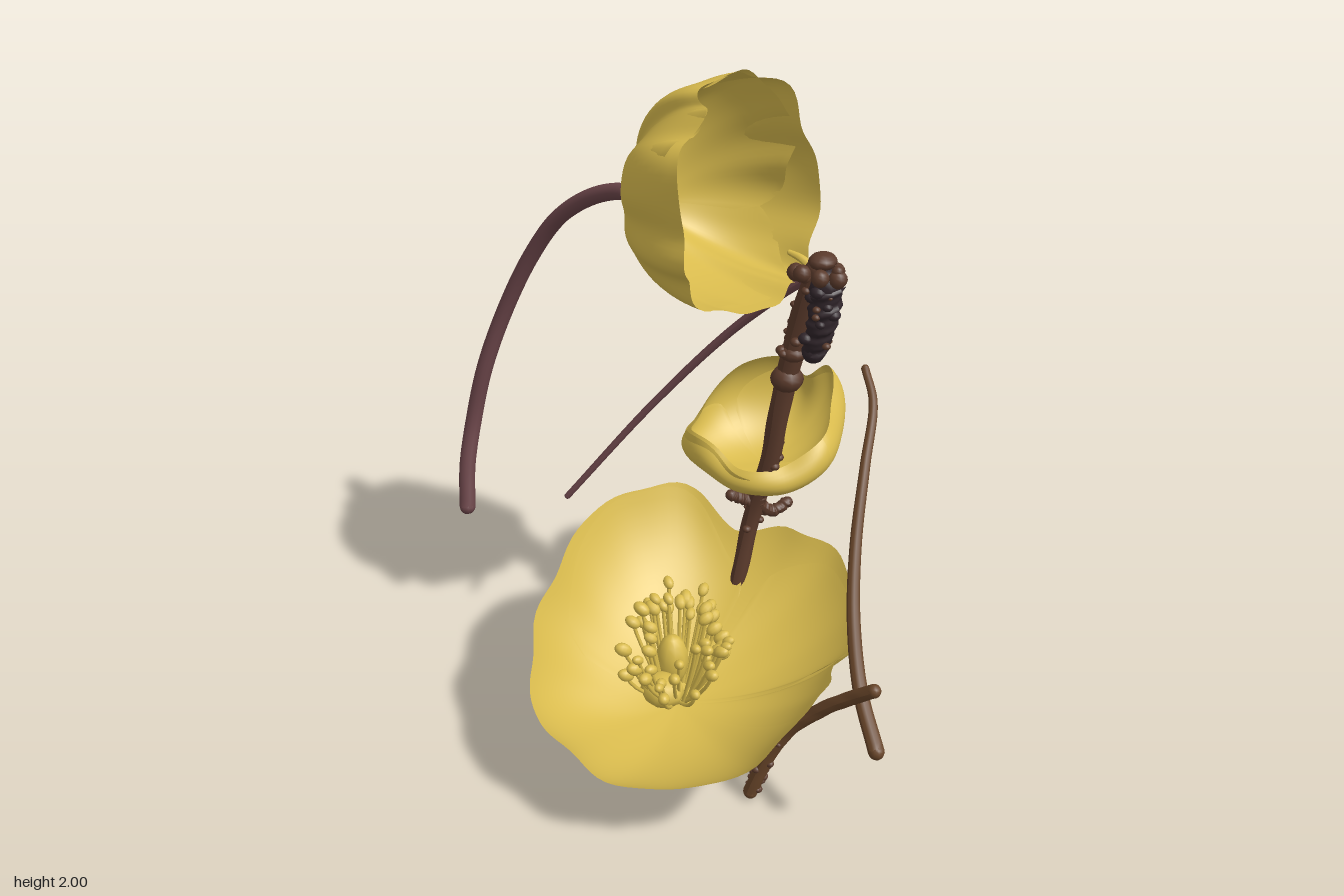
import * as THREE from 'three';

const V = (p) => new THREE.Vector3(...p);
const mat = (name, color, side = THREE.FrontSide) => {
  const m = new THREE.MeshStandardMaterial({ color, side });
  m.name = name;
  return m;
};

export function createModel() {
  const root = new THREE.Group();
  const petal = mat('petal yellow', 0xdabc4e, THREE.DoubleSide);
  const purple = mat('purple stem', 0x6c464a);
  const brown = mat('brown stem', 0x684529);
  const bark = mat('bark brown', 0x5a3a2b, THREE.DoubleSide);
  const dark = mat('dark bark', 0x30252a);

  let seed = 7;
  const rand = () => (seed = (seed * 16807) % 2147483647) / 2147483647;

  const add = (name, geo, material, parent = root) => {
    const m = new THREE.Mesh(geo, material);
    m.name = name;
    parent.add(m);
    return m;
  };
  const blob = (name, pos, scale, material, parent) => {
    const m = add(name, new THREE.SphereGeometry(1, 10, 8), material, parent);
    m.position.set(...pos);
    m.scale.set(...scale);
    return m;
  };

  // Cupped petals: rows swept from a base point out to a wavy rim loop
  function cup(name, base, axis, rim, bend, o = {}) {
    const { from = 0, to = 1, lift = 0, shrink = 1, ripple = 0.012, folds = 11, material = petal } = o;
    const loop = new THREE.CatmullRomCurve3(rim.map(V), true);
    const c = V(base), ax = V(axis).normalize(), whole = to - from === 1;
    const cols = Math.ceil(120 * (to - from)), rows = 20, pos = [], idx = [];
    for (let j = 0; j <= rows; j++) for (let i = 0; i <= cols; i++) {
      const v = i / cols, u = from + (to - from) * v;
      const d = loop.getPoint(((u % 1) + 1) % 1).sub(c);
      const along = d.dot(ax), out = d.addScaledVector(ax, -along);
      const reach = whole ? 1 : shrink * (0.62 + 0.38 * Math.sqrt(Math.sin(Math.PI * v)));
      const t = reach * j / rows, a = t * bend;
      const w = 2 * Math.PI * u;
      const wave = ripple * t * t * (Math.sin(folds * w + 2 * t) + 0.6 * Math.sin((folds * 2 - 5) * w + 1));
      const p = c.clone()
        .addScaledVector(out, Math.sin(a) / Math.sin(bend))
        .addScaledVector(ax, along * (1 - Math.cos(a)) / (1 - Math.cos(bend)) + lift)
        .addScaledVector(out.clone().normalize(), wave)
        .addScaledVector(ax, wave * 0.5);
      pos.push(p.x, p.y, p.z);
      if (i < cols && j < rows) {
        const q = j * (cols + 1) + i, r = q + cols + 1;
        idx.push(q, r, q + 1, q + 1, r, r + 1);
      }
    }
    const g = new THREE.BufferGeometry();
    g.setAttribute('position', new THREE.Float32BufferAttribute(pos, 3));
    g.setIndex(idx);
    g.computeVertexNormals();
    return add(name, g, material);
  }

  // Tapered, optionally knobbly stem with rounded ends
  function stem(name, pts, r0, r1, material, rough = 0) {
    const curve = new THREE.CatmullRomCurve3(pts.map(V));
    const n = 60, sides = 12, g = new THREE.TubeGeometry(curve, n, 1, sides);
    const p = g.attributes.position, v = new THREE.Vector3();
    for (let k = 0; k < p.count; k++) {
      const i = Math.floor(k / (sides + 1)), s = k % (sides + 1), u = i / n;
      const c = curve.getPointAt(u), a = s * Math.PI / 6;
      const bump = 1 + rough * (Math.sin(i * 0.45 + 2 * Math.sin(a)) + 0.7 * Math.sin(i * 0.8 + 3 * a));
      v.fromBufferAttribute(p, k).sub(c).multiplyScalar((r0 + (r1 - r0) * u) * bump).add(c);
      p.setXYZ(k, v.x, v.y, v.z);
    }
    g.computeVertexNormals();
    const group = new THREE.Group();
    group.name = name;
    root.add(group);
    add(name + 'Tube', g, material, group);
    blob(name + 'Start', pts[0], [r0, r0, r0], material, group);
    blob(name + 'End', pts[pts.length - 1], [r1, r1, r1], material, group);
    return curve;
  }

  // Bark scabs scattered along part of a stem
  function scabs(name, curve, from, to, count, spread, size, material) {
    for (let i = 0; i < count; i++) {
      const p = curve.getPointAt(from + (to - from) * (i + rand()) / count), a = rand() * 6.283;
      const s = size * (0.6 + 0.7 * rand());
      blob(name, [p.x + spread * Math.cos(a), p.y, p.z + spread * Math.sin(a)], [s, s * 0.8, s], material);
    }
  }

  // Large open flower
  const bigRim = [[0.69, 0.41, 0.2], [0.68, 0.34, 0.39], [0.55, 0.28, 0.54], [0.38, 0.26, 0.64],
    [0.2, 0.3, 0.66], [0.04, 0.34, 0.62], [-0.08, 0.43, 0.5], [-0.17, 0.53, 0.32], [-0.215, 0.62, 0.12],
    [-0.18, 0.655, -0.1], [-0.06, 0.62, -0.24], [0.08, 0.52, -0.26], [0.25, 0.57, -0.33],
    [0.42, 0.54, -0.33], [0.58, 0.47, -0.22], [0.65, 0.43, -0.09], [0.62, 0.4, -0.03], [0.68, 0.42, 0.06]];
  const bigBase = [0.23, 0.185, 0.2], bigAxis = [0.15, 1, 0.2];
  cup('largeFlowerBowl', bigBase, bigAxis, bigRim, 1.1, { ripple: 0.006 });
  cup('largeFlowerInnerPetal', bigBase, bigAxis, bigRim, 1.1, { from: 0.66, to: 0.9, lift: 0.018, shrink: 0.95, ripple: 0.006 });
  cup('largeFlowerSidePetal', bigBase, bigAxis, bigRim, 1.1, { from: 0.36, to: 0.64, lift: 0.01, shrink: 0.98, ripple: 0.006 });

  // Stamens: a loose ring of plump anthers on bent filaments, around a fleshy centre
  const stamens = new THREE.Group();
  stamens.name = 'stamens';
  root.add(stamens);
  for (let i = 0; i < 50; i++) {
    const a = i * 2.4, r = 0.085 + 0.085 * rand();
    const x = 0.21 + r * Math.cos(a), z = 0.16 + r * Math.sin(a) * (Math.sin(a) > 0.7 ? 1.25 : 0.85);
    const y = 0.41 - 0.3 * (x - 0.2) - 0.3 * (z - 0.16) + 0.09 * (rand() - 0.45);
    const path = new THREE.QuadraticBezierCurve3(V([0.21 + 0.04 * Math.cos(a), 0.2, 0.18 + 0.04 * Math.sin(a)]),
      V([0.21 + 0.9 * (x - 0.21), y - 0.07, 0.17 + 0.9 * (z - 0.17)]), V([x, y, z]));
    add('filament', new THREE.TubeGeometry(path, 6, 0.006, 5), petal, stamens);
    const s = 0.014 + 0.006 * rand();
    const tip = blob('anther', [x, y, z], [s, s * 1.4, s], petal, stamens);
    tip.rotation.set(Math.sin(a) * 1.1, 0, -Math.cos(a) * 1.1);
  }
  blob('pistil', [0.17, 0.3, 0.16], [0.05, 0.09, 0.05], petal, stamens);
  blob('pistilLobe', [0.2, 0.25, 0.24], [0.07, 0.05, 0.06], petal, stamens);

  // Nodding upper flower, mouth toward the model's left
  const budRim = [[0.13, 1.94, -0.02], [0.13, 1.89, 0.08], [0.17, 1.76, 0.14], [0.18, 1.66, 0.13],
    [0.19, 1.55, 0.13], [0.17, 1.46, 0.07], [0.23, 1.4, -0.02], [0.26, 1.4, -0.14], [0.26, 1.41, -0.26],
    [0.22, 1.42, -0.38], [0.19, 1.55, -0.46], [0.17, 1.72, -0.46], [0.14, 1.87, -0.41],
    [0.07, 1.98, -0.33], [0.06, 1.99, -0.18], [0.08, 1.99, -0.04]];
  const budBase = [-0.23, 1.58, -0.18], budAxis = [1, 0.1, 0];
  cup('upperFlowerCup', budBase, budAxis, budRim, 1.5, { ripple: 0.012, folds: 9 });
  cup('upperFlowerLowerPetal', budBase, budAxis, budRim, 1.5, { from: 0.28, to: 0.64, lift: 0.015, shrink: 0.93 });
  cup('upperFlowerBackPetal', budBase, budAxis, budRim, 1.5, { from: 0.62, to: 0.9, lift: 0.02, shrink: 0.92 });
  cup('upperFlowerTopFlap', budBase, budAxis, budRim, 1.5, { from: -0.08, to: 0.12, lift: 0.02, shrink: 0.97, ripple: 0.018 });

  // Calyx wrapping the flower base, with one hanging sepal
  const calyxRim = [];
  for (let i = 0; i < 8; i++) {
    const a = i * Math.PI / 4;
    calyxRim.push([-0.215 + 0.012 * (i % 2), 1.57 + 0.085 * Math.cos(a), -0.18 + 0.085 * Math.sin(a)]);
  }
  cup('calyx', [-0.275, 1.575, -0.18], [1, 0, 0], calyxRim, 1.3, { ripple: 0.005, folds: 7, material: bark });
  stem('hangingSepal', [[-0.26, 1.54, -0.17], [-0.22, 1.47, -0.16], [-0.15, 1.415, -0.15]], 0.03, 0.022, bark, 0.08);

  // Small cupped flower at the back
  const smallRim = [[0.28, 0.87, -0.4], [0.24, 0.81, -0.27], [0.12, 0.79, -0.21], [0.0, 0.85, -0.2],
    [-0.11, 0.84, -0.26], [-0.13, 0.88, -0.38], [-0.1, 0.97, -0.5], [0.0, 0.98, -0.6],
    [0.07, 0.94, -0.61], [0.14, 0.99, -0.62], [0.22, 0.93, -0.56]];
  const smallBase = [0.06, 0.675, -0.42], smallAxis = [0, 1, 0.1];
  cup('smallFlowerCup', smallBase, smallAxis, smallRim, 2.1, { ripple: 0.008, folds: 6 });
  cup('smallFlowerFrontPetal', smallBase, smallAxis, smallRim, 2.0, { from: 0.1, to: 0.5, lift: 0.02, shrink: 0.92, folds: 6 });
  cup('smallFlowerBackPetal', smallBase, smallAxis, smallRim, 1.9, { from: 0.52, to: 0.95, lift: 0.02, shrink: 0.9, folds: 6 });

  // Long arched stem and thin side stem
  stem('archedStem', [[-0.275, 1.58, -0.185], [-0.34, 1.575, -0.195], [-0.46, 1.53, -0.195], [-0.6, 1.43, -0.19],
    [-0.72, 1.27, -0.175], [-0.82, 1.06, -0.14], [-0.88, 0.85, -0.09], [-0.91, 0.65, -0.05],
    [-0.9, 0.5, 0.0], [-0.875, 0.36, 0.035]], 0.026, 0.028, purple);
  stem('thinStem', [[0.27, 1.43, -0.3], [0.2, 1.37, -0.29], [0.03, 1.2, -0.25], [-0.18, 0.93, -0.15], [-0.4, 0.585, 0.015]],
    0.015, 0.01, purple);

  // Main woody stem with joints, dark bark and a broken top
  const main = stem('mainStem', [[0.31, 1.47, -0.3], [0.27, 1.3, -0.29], [0.23, 1.1, -0.28], [0.2, 0.85, -0.265],
    [0.15, 0.62, -0.25], [0.14, 0.42, -0.2], [0.135, 0.25, -0.162], [0.12, 0.13, -0.14], [0.075, 0.02, -0.09]],
    0.037, 0.02, bark, 0.05);
  blob('stemJoint', [0.235, 1.11, -0.28], [0.05, 0.042, 0.05], bark);
  blob('stemCollar', [0.25, 1.2, -0.285], [0.043, 0.03, 0.043], bark);
  scabs('barkScab', main, 0.02, 0.22, 16, 0.036, 0.016, bark);
  scabs('barkScab', main, 0.4, 0.62, 14, 0.026, 0.014, bark);
  scabs('barkScab', main, 0.84, 0.99, 22, 0.018, 0.013, bark);
  const slab = stem('darkBark', [[0.335, 1.43, -0.305], [0.335, 1.33, -0.3], [0.31, 1.215, -0.3]], 0.052, 0.036, dark, 0.07);
  scabs('darkScab', slab, 0, 1, 12, 0.038, 0.02, dark);
  scabs('slabScab', slab, 0, 1, 6, 0.048, 0.012, bark);
  for (let i = 0; i < 14; i++) {
    const a = i * 0.9, r = 0.03 + 0.04 * rand(), s = 0.016 + 0.012 * rand();
    blob('brokenTop', [0.315 + r * Math.cos(a), 1.45 + 0.035 * rand(), -0.3 + r * Math.sin(a)], [s, s, s], bark);
  }
  blob('topKnob', [0.325, 1.5, -0.3], [0.04, 0.025, 0.045], bark);
  stem('petalScrap', [[0.21, 1.495, -0.3], [0.25, 1.488, -0.3], [0.29, 1.47, -0.3]], 0.008, 0.015, petal);

  // Twig cluster below the small flower
  const twigEnds = [[0.08, 0.64, -0.3], [0.12, 0.7, -0.39], [0.2, 0.63, -0.36], [0.21, 0.73, -0.26], [0.1, 0.69, -0.2]];
  for (const e of twigEnds) {
    stem('twig', [[0.16, 0.66, -0.255], [(0.16 + e[0]) / 2, e[1] - 0.015, (e[2] - 0.255) / 2], e], 0.02, 0.018, bark, 0.08);
  }
  stem('smallFlowerStalk', [[0.17, 0.68, -0.26], [0.12, 0.64, -0.33], [0.06, 0.655, -0.41]], 0.018, 0.018, bark);

  // Stub under the large flower, dark on its front side
  stem('flowerStub', [[0.155, 0.18, 0.205], [0.115, 0.11, 0.202], [0.075, 0.04, 0.198]], 0.025, 0.016, petal, 0.07);
  const stub = stem('stubBark', [[0.162, 0.172, 0.222], [0.122, 0.1, 0.22], [0.08, 0.028, 0.214]], 0.028, 0.019, dark, 0.07);
  scabs('stubScab', stub, 0.1, 0.95, 9, 0.016, 0.011, dark);

  // Side stem and the curved stem crossing it
  const side = stem('sideStem', [[0.52, 0.02, 0.21], [0.55, 0.13, 0.19], [0.61, 0.27, 0.16], [0.73, 0.41, 0.135], [0.86, 0.525, 0.125]],
    0.022, 0.02, brown, 0.03);
  scabs('sideScab', side, 0, 0.38, 28, 0.018, 0.012, bark);
  stem('curvedStem', [[0.41, 1.145, -0.425], [0.48, 1.08, -0.37], [0.55, 0.95, -0.24], [0.62, 0.78, -0.11],
    [0.7, 0.62, 0.0], [0.8, 0.47, 0.095], [0.91, 0.37, 0.17]], 0.012, 0.023, brown);

  return root;
}
